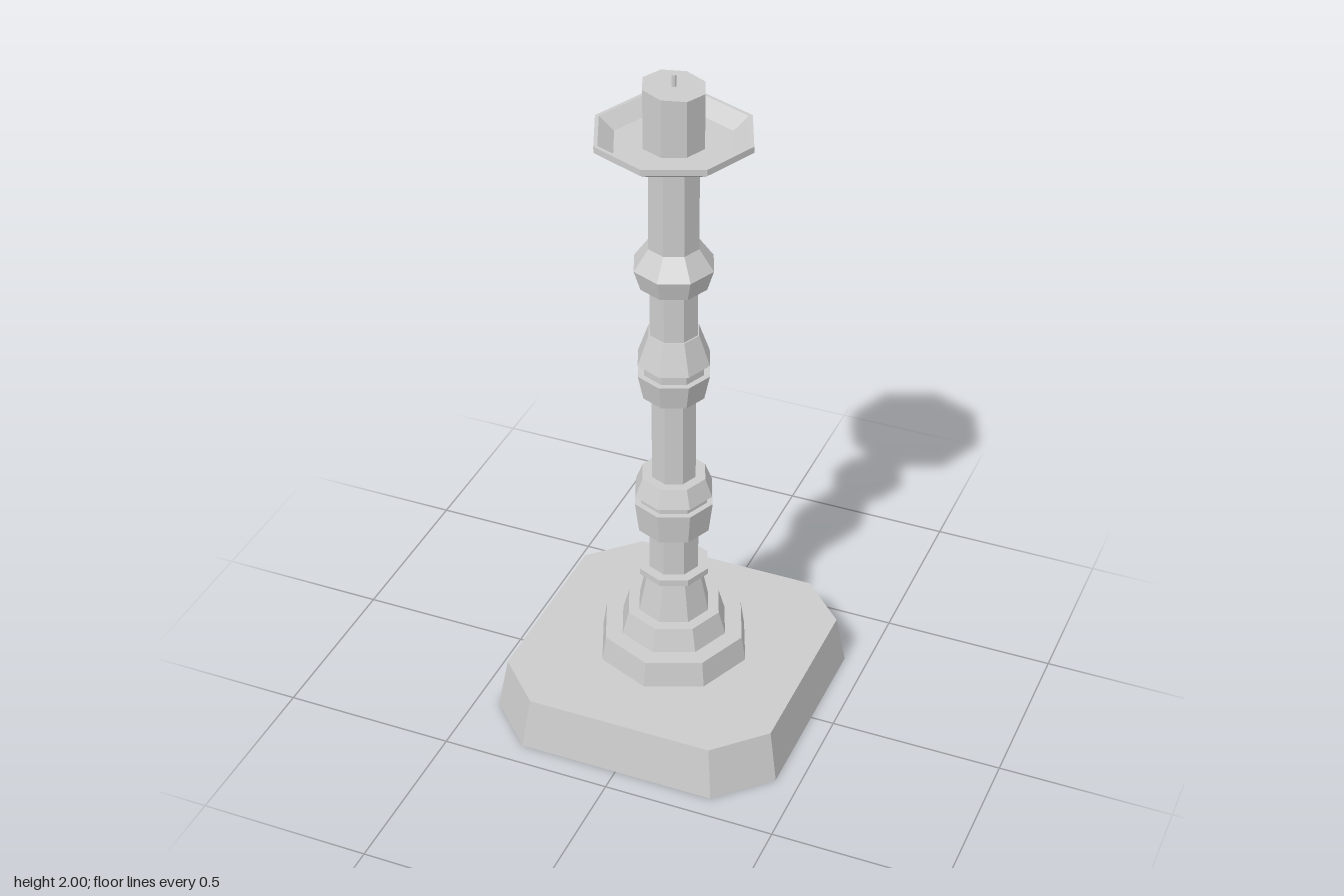
import * as THREE from 'three';

const material = new THREE.MeshStandardMaterial({ color: 0xcccccc, flatShading: true });

function addMesh(group, name, geometry) {
  const flat = geometry.toNonIndexed();
  flat.computeVertexNormals();
  const mesh = new THREE.Mesh(flat, material);
  mesh.name = name;
  group.add(mesh);
}

// Eight-sided turned piece from [radius, height] pairs, corners on the axes
function turned(group, name, profile) {
  const points = profile.map(([r, y]) => new THREE.Vector2(r, y));
  addMesh(group, name, new THREE.LatheGeometry(points, 8));
}

// Closed eight-sided frustum
function frustum(group, name, r0, y0, r1, y1) {
  turned(group, name, [[0, y0], [r0, y0], [r1, y1], [0, y1]]);
}

export function createModel() {
  const group = new THREE.Group();

  // Square base with cut corners, tapering upwards
  const base = new THREE.CylinderGeometry(1, 1, 0.152, 8).rotateY(Math.PI / 8);
  const p = base.attributes.position;
  const snap = (v, s) => (Math.abs(v) < 0.01 ? 0 : Math.sign(v) * (Math.abs(v) > 0.6 ? 0.432 : 0.29) * s);
  for (let i = 0; i < p.count; i++) {
    const s = p.getY(i) > 0 ? 0.942 : 1;
    p.setXYZ(i, snap(p.getX(i), s), p.getY(i) + 0.076, snap(p.getZ(i), s));
  }
  addMesh(group, 'base', base);

  // Stepped foot
  frustum(group, 'lowerStep', 0.224, 0.152, 0.212, 0.23);
  frustum(group, 'upperStep', 0.16, 0.23, 0.14, 0.3);
  frustum(group, 'stemFoot', 0.107, 0.3, 0.08, 0.43);
  frustum(group, 'footRing', 0.105, 0.43, 0.105, 0.449);

  // Straight stem sections
  frustum(group, 'lowerStem', 0.075, 0.449, 0.075, 0.585);
  frustum(group, 'middleStem', 0.066, 0.76, 0.066, 1.03);
  frustum(group, 'upperStem', 0.07, 1.23, 0.07, 1.38);
  frustum(group, 'topStem', 0.073, 1.5, 0.073, 1.795);

  // Knops
  turned(group, 'lowerKnop', [[0, 0.585], [0.106, 0.585], [0.118, 0.68], [0.1, 0.68],
    [0.1, 0.705], [0.116, 0.705], [0.095, 0.76], [0, 0.76]]);
  turned(group, 'middleKnop', [[0, 1.03], [0.09, 1.03], [0.106, 1.105], [0.088, 1.105],
    [0.088, 1.14], [0.106, 1.14], [0.074, 1.23], [0, 1.23]]);
  turned(group, 'upperKnop', [[0, 1.38], [0.096, 1.38], [0.115, 1.44], [0.073, 1.5], [0, 1.5]]);

  // Drip tray with raised rim
  turned(group, 'dripTray', [[0, 1.79], [0.17, 1.79], [0.222, 1.82], [0.222, 1.838],
    [0.211, 1.838], [0.168, 1.803], [0, 1.803]]);

  // Candle with a slightly slanted top
  const candle = new THREE.CylinderGeometry(0.087, 0.087, 0.165, 8).translate(0, 1.885, 0);
  const c = candle.attributes.position;
  for (let i = 0; i < c.count; i++) {
    if (c.getY(i) > 1.9) c.setY(i, 1.9675 - c.getX(i) * 0.08);
  }
  addMesh(group, 'candle', candle);
  frustum(group, 'wick', 0.007, 1.96, 0.007, 2);

  return group;
}
